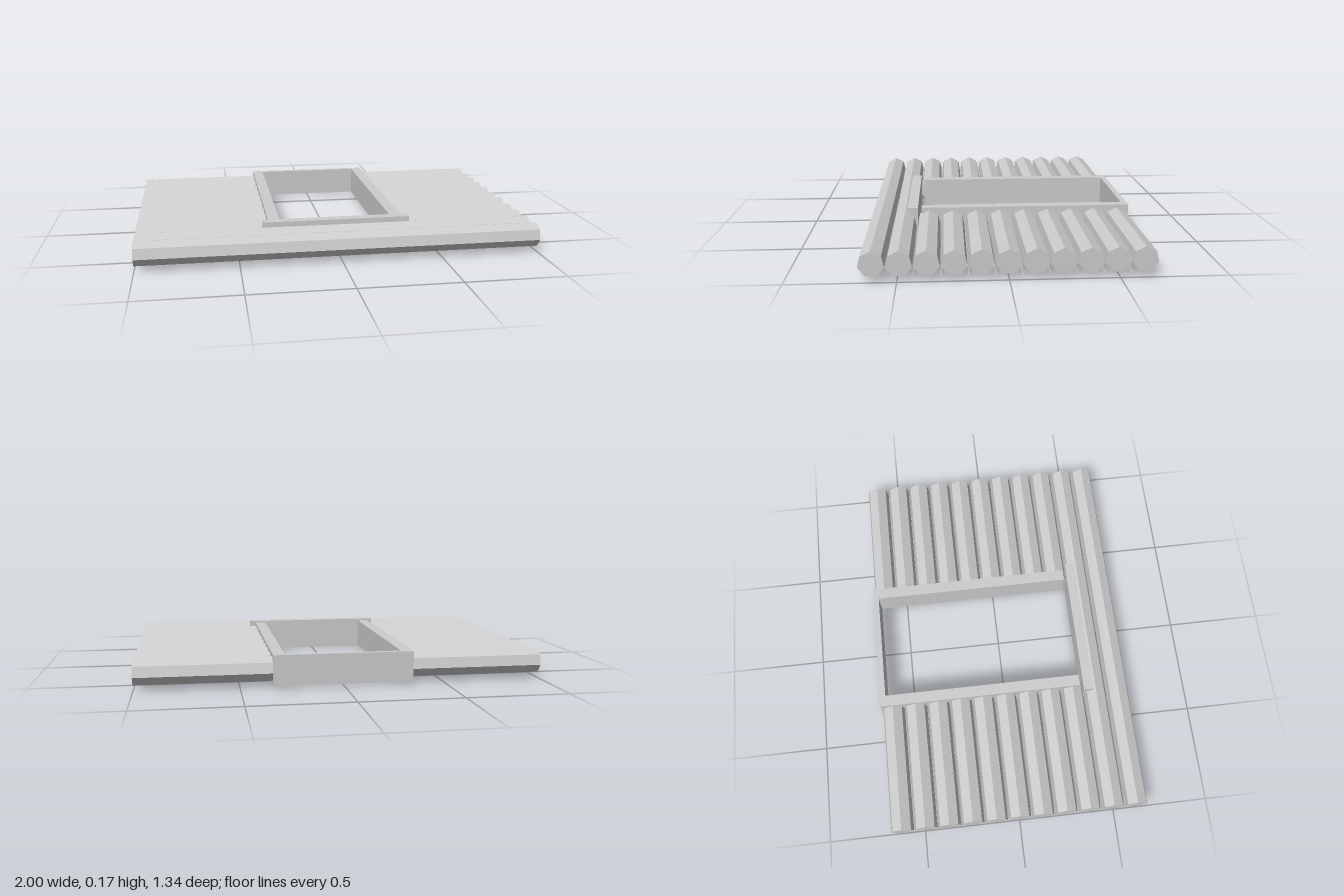
import * as THREE from 'three';

export function createModel() {
  const model = new THREE.Group();
  const grey = new THREE.MeshStandardMaterial({ color: 0xcccccc, flatShading: true });
  grey.name = 'plain grey';

  const R = 0.0605, LOG_Y = 0.0848, PITCH = 0.1224, COUNT = 11;
  const OPENING = 0.31;

  // Rod lying along x, with one corner pointing up
  function rod(name, radius, sides, x0, x1, y, z) {
    const g = new THREE.CylinderGeometry(radius, radius, x1 - x0, sides, 1, false, Math.PI / 2);
    g.rotateZ(Math.PI / 2);
    const m = new THREE.Mesh(g, grey);
    m.name = name;
    m.position.set((x0 + x1) / 2, y, z);
    model.add(m);
  }

  function board(name, x0, x1, y0, y1, z0, z1) {
    const m = new THREE.Mesh(new THREE.BoxGeometry(x1 - x0, y1 - y0, z1 - z0), grey);
    m.name = name;
    m.position.set((x0 + x1) / 2, (y0 + y1) / 2, (z0 + z1) / 2);
    model.add(m);
  }

  // Row of logs: the two front ones run full width, the rest stop at the opening
  for (let i = 0; i < COUNT; i++) {
    const z = (5 - i) * PITCH;
    const spans = i < 2 ? [[-1, 1]] : [[-1, -OPENING], [OPENING, 1]];
    for (const [a, b] of spans) rod('log', R, 7, a, b, LOG_Y, z);

    // Thin filler rod in the gap behind each log
    if (i < COUNT - 1) {
      const gaps = i < 1 ? [[-1, 1]] : [[-1, -OPENING], [OPENING, 1]];
      for (const [a, b] of gaps) rod('gapRod', 0.003, 4, a, b, 0.0245, z - 0.0645);
    }
  }

  // Frame around the opening
  board('leftRail', 0.285, 0.343, 0.01, 0.16, -0.672, 0.405);
  board('rightRail', -0.343, -0.285, 0.01, 0.16, -0.672, 0.405);
  board('backBoard', -0.343, 0.343, 0.01, 0.16, -0.674, -0.645);
  board('frontBoard', -0.372, 0.372, 0, 0.167, 0.423, 0.475);

  return model;
}
